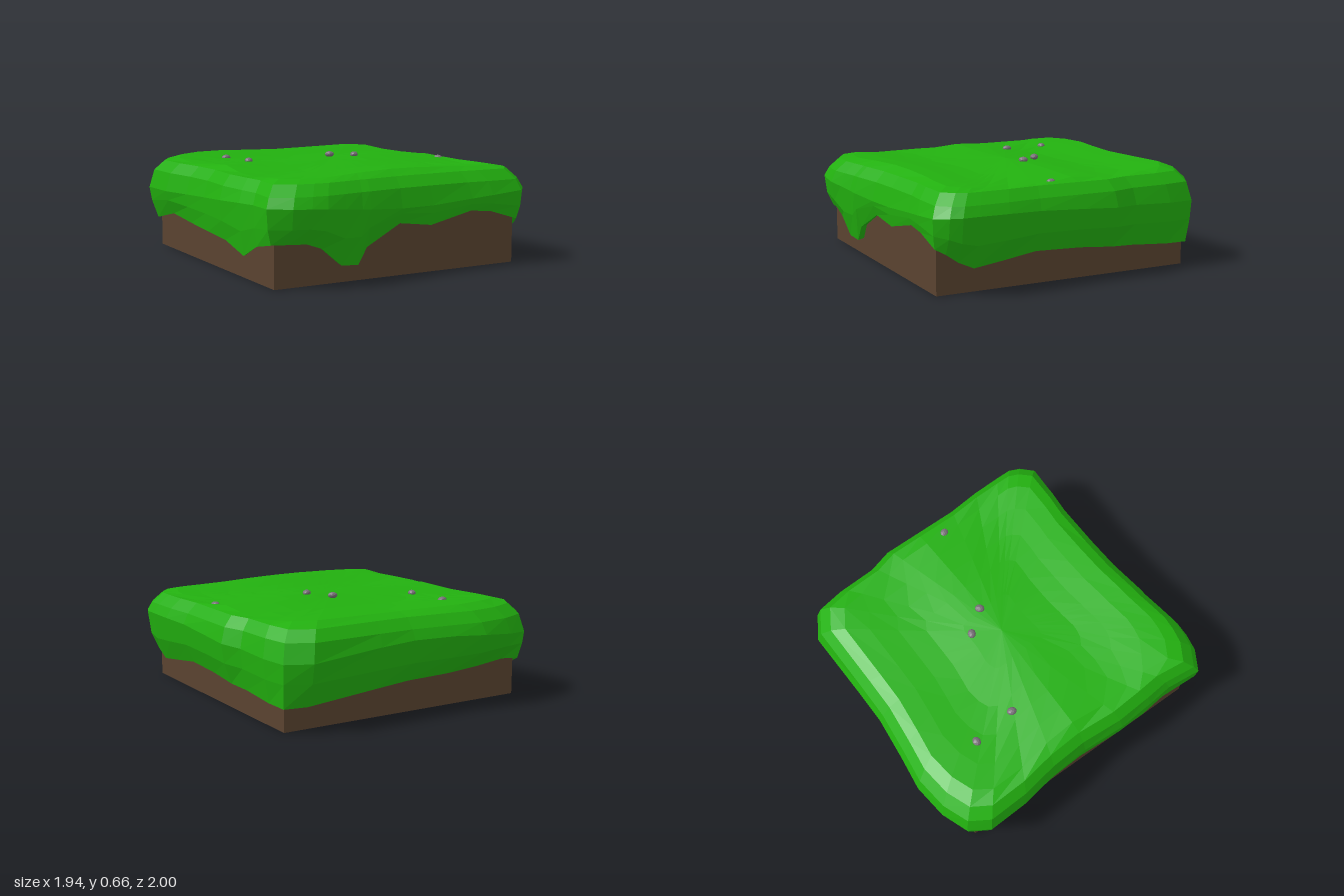
import * as THREE from 'three';

// Soil block extents
const X0 = -0.86, X1 = 0.83, Z0 = -0.83, Z1 = 0.87;

// Turf outline, counterclockwise from above: x, z, height of the ragged hem
const OUTLINE = [
  // front
  [-0.92, 0.90, 0.26], [-0.79, 0.975, 0.26], [-0.68, 0.995, 0.255], [-0.58, 1.0, 0.22],
  [-0.45, 0.98, 0.11], [-0.33, 0.96, 0.10], [-0.27, 0.955, 0.20], [-0.03, 0.92, 0.32],
  [0.2, 0.905, 0.29], [0.5, 0.895, 0.355], [0.65, 0.905, 0.34], [0.87, 0.905, 0.28],
  // right
  [0.94, 0.83, 0.25], [0.97, 0.76, 0.20], [0.97, 0.66, 0.155], [0.965, 0.47, 0.18],
  [0.945, 0.25, 0.21], [0.945, -0.05, 0.20], [0.945, -0.28, 0.18], [0.9, -0.44, 0.17],
  [0.89, -0.7, 0.15], [0.86, -0.88, 0.145],
  // back
  [0.71, -0.97, 0.15], [0.24, -0.955, 0.19], [0, -0.95, 0.21], [-0.28, -0.975, 0.22],
  [-0.5, -1.0, 0.24], [-0.72, -0.97, 0.26], [-0.89, -0.9, 0.24],
  // left
  [-0.97, -0.77, 0.2], [-0.96, -0.5, 0.26], [-0.92, -0.25, 0.23], [-0.905, 0, 0.21],
  [-0.925, 0.28, 0.2], [-0.91, 0.52, 0.14], [-0.895, 0.68, 0.22],
];

// Gently rolling height of the turf surface
const topHeight = (x, z) =>
  0.612 + 0.014 * Math.cos((z - 0.76) * 8) - 0.012 * x * x + 0.006 * Math.sin(5 * x + 2 * z);

// One vertical cross-section of the turf, from hem up and in towards the centre
function section([x, z, hem]) {
  const wx = THREE.MathUtils.clamp(x, X0, X1), wz = THREE.MathUtils.clamp(z, Z0, Z1);
  const mix = (t, y) => [wx + (x - wx) * t, y, wz + (z - wz) * t];
  const inset = (s, y) => [x * s, y, z * s];
  const points = [
    mix(0, hem + 0.01), mix(0.45, hem), mix(0.85, hem + (0.44 - hem) * 0.5),
    mix(1, 0.44 + 0.03 * Math.sin(3 * x - 2 * z)),
    inset(0.97, 0.53), inset(0.91, 0.595),
  ];
  for (const s of [0.83, 0.7, 0.55, 0.4, 0.2]) points.push(inset(s, topHeight(x * s, z * s)));
  return points;
}

function turfGeometry() {
  const sections = OUTLINE.map(section);
  const n = sections.length, m = sections[0].length;
  const positions = sections.flat(2), index = [];
  for (let i = 0; i < n; i++) {
    const a = i * m, b = ((i + 1) % n) * m;
    for (let j = 0; j < m - 1; j++) {
      index.push(a + j, b + j, b + j + 1, a + j, b + j + 1, a + j + 1);
    }
    index.push(a + m - 1, b + m - 1, n * m);
  }
  positions.push(0, topHeight(0, 0), 0);
  const g = new THREE.BufferGeometry();
  g.setAttribute('position', new THREE.Float32BufferAttribute(positions, 3));
  g.setIndex(index);
  const flat = g.toNonIndexed();
  flat.computeVertexNormals();
  return flat;
}

export function createModel() {
  const group = new THREE.Group();
  const add = (name, geometry, color) => {
    const material = new THREE.MeshStandardMaterial({ color, flatShading: true });
    const mesh = new THREE.Mesh(geometry, material);
    mesh.name = name;
    group.add(mesh);
    return mesh;
  };

  // Soil block
  const soil = add('soil', new THREE.BoxGeometry(X1 - X0, 0.5, Z1 - Z0), 0x5a4330);
  soil.position.set((X0 + X1) / 2, 0.25, (Z0 + Z1) / 2);

  // Overhanging grass
  add('grass', turfGeometry(), 0x22b00f);

  // Pebbles
  const pebbles = [
    [-0.5, 0.605, -0.55], [-0.47, 0.61, -0.26], [0.09, 0.633, -0.17],
    [0.2, 0.638, -0.03], [0.79, 0.597, 0.1],
  ];
  pebbles.forEach((p, i) => {
    const pebble = add('pebble', new THREE.IcosahedronGeometry(0.031, 1), 0x777077);
    pebble.position.set(...p);
    pebble.scale.set(1, 0.65, 0.85);
    pebble.rotation.y = i * 1.3;
  });

  return group;
}
